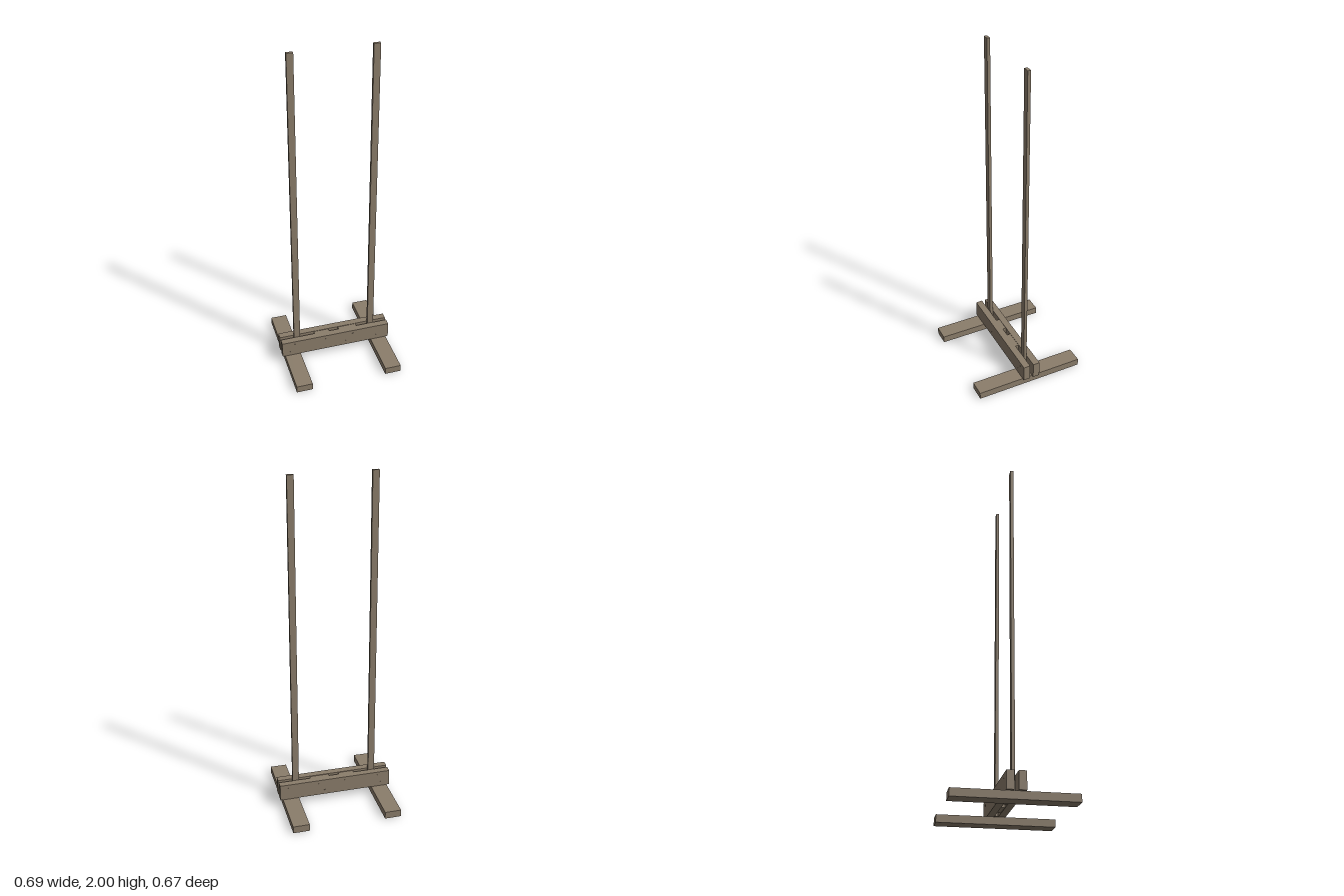
import * as THREE from 'three';

export function createModel() {
  const model = new THREE.Group();
  model.name = 'uprightStand';
  const wood = new THREE.MeshStandardMaterial({ color: 0x8b7d6b });
  wood.name = 'weatheredWood';

  // Box given by its lower and upper corners
  function board(name, [x0, y0, z0], [x1, y1, z1]) {
    const mesh = new THREE.Mesh(new THREE.BoxGeometry(x1 - x0, y1 - y0, z1 - z0), wood);
    mesh.position.set((x0 + x1) / 2, (y0 + y1) / 2, (z0 + z1) / 2);
    mesh.name = name;
    model.add(mesh);
    return mesh;
  }

  // Feet
  board('rightFoot', [-0.327, 0, -0.333], [-0.229, 0.043, 0.332]);
  board('leftFoot', [0.228, 0, -0.333], [0.326, 0.043, 0.332]);

  // Twin cross beams
  board('backBeam', [-0.343, 0.044, -0.053], [0.342, 0.143, -0.012]);
  board('frontBeam', [-0.343, 0.044, 0.01], [0.342, 0.143, 0.051]);

  // Spacer blocks clamped between the beams
  board('rightSpacer', [-0.126, 0.046, -0.012], [-0.033, 0.14, 0.009]);
  board('leftSpacer', [0.029, 0.046, -0.012], [0.145, 0.14, 0.009]);

  // Tall posts, sheared to lean very slightly
  function post(name, bottomX, topX) {
    const mesh = board(name, [-0.019, 0.044, -0.01], [0.019, 2, 0.008]);
    const p = mesh.geometry.attributes.position;
    for (let i = 0; i < p.count; i++) p.setX(i, p.getX(i) + (p.getY(i) < 0 ? bottomX : topX));
    mesh.geometry.computeVertexNormals();
  }
  post('rightPost', -0.239, -0.234);
  post('leftPost', 0.237, 0.233);

  // Nearly flush screw heads on both outer beam faces
  const head = new THREE.CylinderGeometry(0.006, 0.006, 0.002, 12).rotateX(Math.PI / 2);
  for (const z of [-0.053, 0.051]) {
    [-0.29, -0.265, -0.107, -0.062, 0.066, 0.11, 0.26, 0.288].forEach((x, i) => {
      const screw = new THREE.Mesh(head, wood);
      screw.name = 'screwHead';
      screw.position.set(x, i % 2 ? 0.119 : 0.07, z);
      model.add(screw);
    });
  }
  return model;
}
